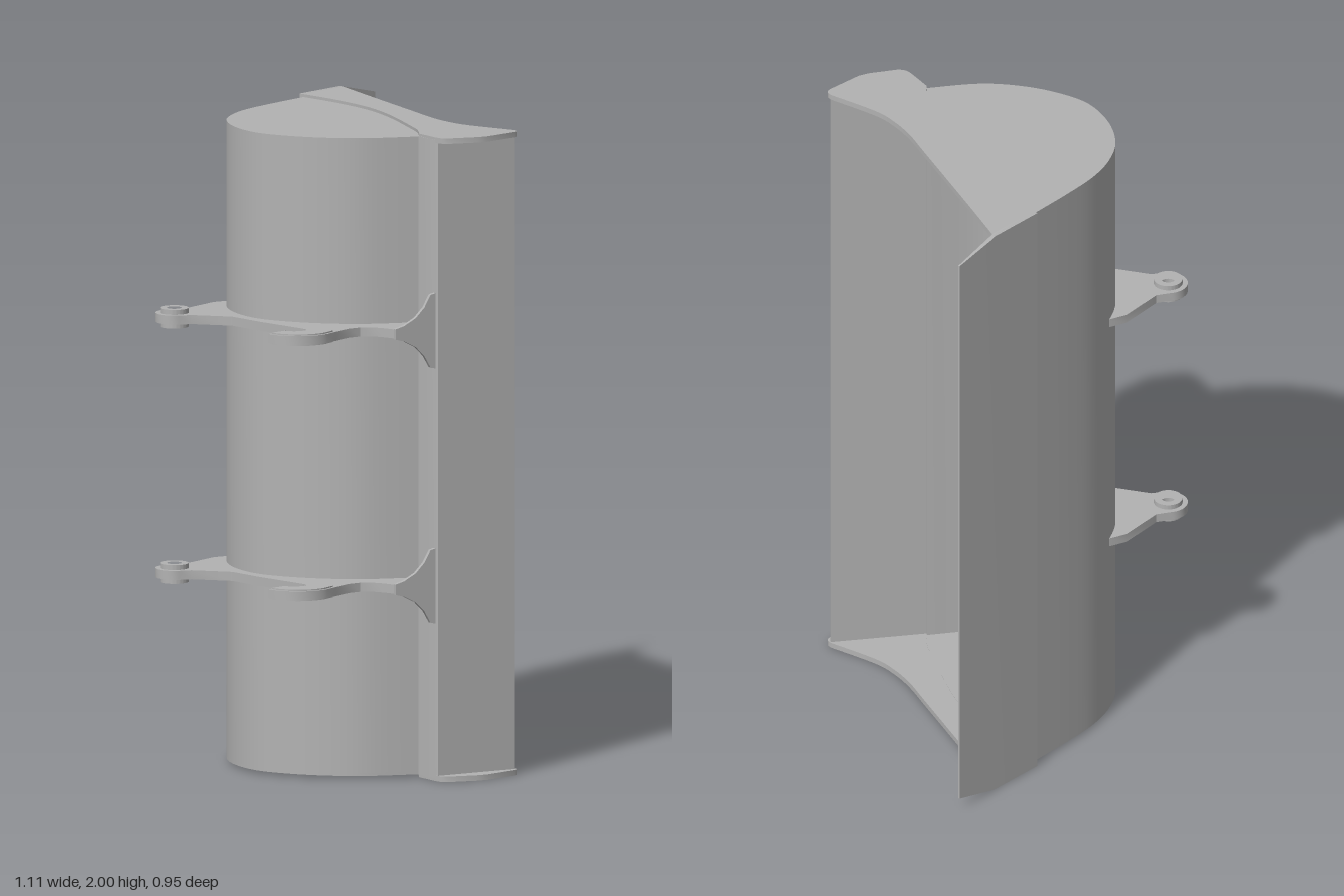
import * as THREE from 'three';
import { toCreasedNormals } from 'three/addons/utils/BufferGeometryUtils.js';

const steel = new THREE.MeshStandardMaterial({ color: 0xb2b2b2 });
steel.name = 'grey steel';

// Plan points are [x, z]; shapes are drawn with y = -z and extruded upwards.
const v = ([x, z]) => new THREE.Vector2(x, -z);
const smooth = (pts, n = 24) => new THREE.SplineCurve(pts.map(v)).getPoints(n).map(p => [p.x, -p.y]);
const arc = (cx, cz, r, a0, a1, n = 12) => Array.from({ length: n + 1 }, (_, i) => {
  const a = THREE.MathUtils.degToRad(a0 + (a1 - a0) * i / n);
  return [cx + r * Math.cos(a), cz + r * Math.sin(a)];
});

function mesh(name, geometry) {
  const m = new THREE.Mesh(toCreasedNormals(geometry, 0.5), steel);
  m.name = name;
  return m;
}

// Upright slab with the given plan outline between heights y0 and y1
function slab(name, outline, y0, y1, hole) {
  const shape = new THREE.Shape(outline.map(v));
  if (hole) shape.holes.push(new THREE.Path(hole.map(v)));
  const g = new THREE.ExtrudeGeometry(shape, { depth: y1 - y0, bevelEnabled: false });
  g.rotateX(-Math.PI / 2).translate(0, y0, 0);
  return mesh(name, g);
}

// Curved back of the bucket, from the lip round to the rear beam
const back = smooth([[0.21, -0.46], [0.05, -0.456], [-0.07, -0.446], [-0.17, -0.417], [-0.26, -0.36],
  [-0.33, -0.265], [-0.365, -0.15], [-0.348, -0.04], [-0.3, 0.07], [-0.22, 0.175], [-0.09, 0.275]], 48);
// Front limit of the end plates
const front = smooth([[-0.09, 0.275], [-0.045, 0.23], [0, 0.162], [0.1, -0.005], [0.165, -0.15],
  [0.197, -0.3], [0.21, -0.46]], 24);

// Offset a plan polyline to its inner side
function inset(pts, d) {
  return pts.map((p, i) => {
    const a = pts[Math.max(i - 1, 0)], b = pts[Math.min(i + 1, pts.length - 1)];
    const dx = b[0] - a[0], dz = b[1] - a[1], l = Math.hypot(dx, dz);
    return [p[0] + dz / l * d, p[1] - dx / l * d];
  });
}

// Tapered lip plate with clipped corners
function lip() {
  const rows = [[0.21, 0, -0.476, -0.459], [0.395, 0, -0.474, -0.458], [0.553, 0.037, -0.471, -0.466]];
  const pos = [], idx = [];
  for (const [x, c, z0, z1] of rows) pos.push(x, c, z0, x, 2 - c, z0, x, 2 - c, z1, x, c, z1);
  for (let r = 0; r < 2; r++) for (let k = 0; k < 4; k++) {
    const a = r * 4 + k, b = r * 4 + (k + 1) % 4;
    idx.push(a, b, b + 4, a, b + 4, a + 4);
  }
  idx.push(0, 3, 2, 0, 2, 1, 8, 9, 10, 8, 10, 11);
  const g = new THREE.BufferGeometry();
  g.setAttribute('position', new THREE.Float32BufferAttribute(pos, 3));
  g.setIndex(idx);
  return mesh('cuttingLip', g);
}

// Mounting bracket centred on height 0
function bracket() {
  const g = new THREE.Group();
  g.name = 'mountingBracket';
  const eye = [-0.452, -0.403];
  const outline = [
    [-0.16, -0.41], [-0.232, -0.437], [-0.375, -0.426],
    ...arc(...eye, 0.06, -50, -235, 18),
    [-0.453, -0.332], [-0.393, -0.22], [-0.406, -0.1], [-0.413, 0.08],
    ...arc(-0.452, 0.083, 0.038, 15, 180),
    [-0.493, 0.078], [-0.555, 0.069],
    ...arc(-0.437, 0.085, 0.119, 180, 90),
    [-0.39, 0.198], [-0.32, 0.193], [-0.28, 0.204], [-0.253, 0.235], [-0.243, 0.27], [-0.24, 0.306],
    [-0.11, 0.352], [-0.092, 0.275],
    ...back.slice(14, -1).reverse(),
  ];
  g.add(slab('bracketPlate', outline, -0.014, 0.014, arc(...eye, 0.023, 0, 345, 23)));
  // Raised boss round the pin hole
  g.add(slab('pinBoss', arc(...eye, 0.044, 0, 352.5, 47), -0.029, 0.029, arc(...eye, 0.0225, 0, 345, 23)));
  // Thickened hook pad
  g.add(slab('hookPad', [[-0.492, 0.083], [-0.547, 0.077], ...arc(-0.437, 0.085, 0.111, 180, 90),
    [-0.395, 0.19], [-0.425, 0.12], ...arc(-0.452, 0.083, 0.043, 60, 178)], -0.018, 0.018));
  // Flared foot plate: drawn along its length, then turned to the slope of the bracket
  const half = [[0, 0.016], [0.03, 0.024], [0.07, 0.045], [0.1, 0.075], [0.122, 0.113], [0.139, 0.117]];
  const flare = [...half, ...half.map(([a, b]) => [a, -b]).reverse()];
  const foot = new THREE.ExtrudeGeometry(new THREE.Shape(flare.map(v)), { depth: 0.012, bevelEnabled: false });
  const m = mesh('flaredFoot', foot);
  m.position.set(-0.241, 0, 0.305);
  m.rotation.y = -Math.atan2(0.046, 0.13);
  g.add(m);
  return g;
}

export function createModel() {
  const group = new THREE.Group();
  group.name = 'bucket';

  // Curved shell and the two long edges
  group.add(slab('curvedShell', [...back, ...inset(back, 0.01).reverse()], 0.01, 1.99));
  group.add(lip());
  group.add(slab('rearBeam', [[-0.092, 0.274], [-0.11, 0.358], [-0.108, 0.368], [0.14, 0.462], [0.146, 0.454]],
    0.008, 1.992));

  // End plates and the thicker side cutters along their open edge
  const edge = [
    ...smooth([[0.395, -0.46], [0.31, -0.262], [0.2, 0], [0.15, 0.12], [0.127, 0.21], [0.123, 0.29], [0.149, 0.45]], 24),
    [0.147, 0.464], [0.139, 0.473], [0.125, 0.475], [0.01, 0.464], [-0.02, 0.452], [-0.1, 0.4], [-0.111, 0.38], [-0.11, 0.36],
  ];
  const cutter = [[0.21, -0.472], [0.395, -0.472], ...edge, ...front.slice(0, -1), [0.21, -0.46]];
  for (const top of [false, true]) {
    const s = top ? 'upper' : 'lower';
    const span = (a, b) => top ? [2 - b, 2 - a] : [a, b];
    group.add(slab(s + 'EndPlate', [...back.slice(0, -1), ...front.slice(0, -1)], ...span(0.009, 0.018)));
    group.add(slab(s + 'SideCutter', cutter, ...span(0, 0.017)));
  }

  // Pair of brackets on the back
  for (const y of [0.607, 1.4]) {
    const b = bracket();
    b.position.y = y;
    group.add(b);
  }
  return group;
}
